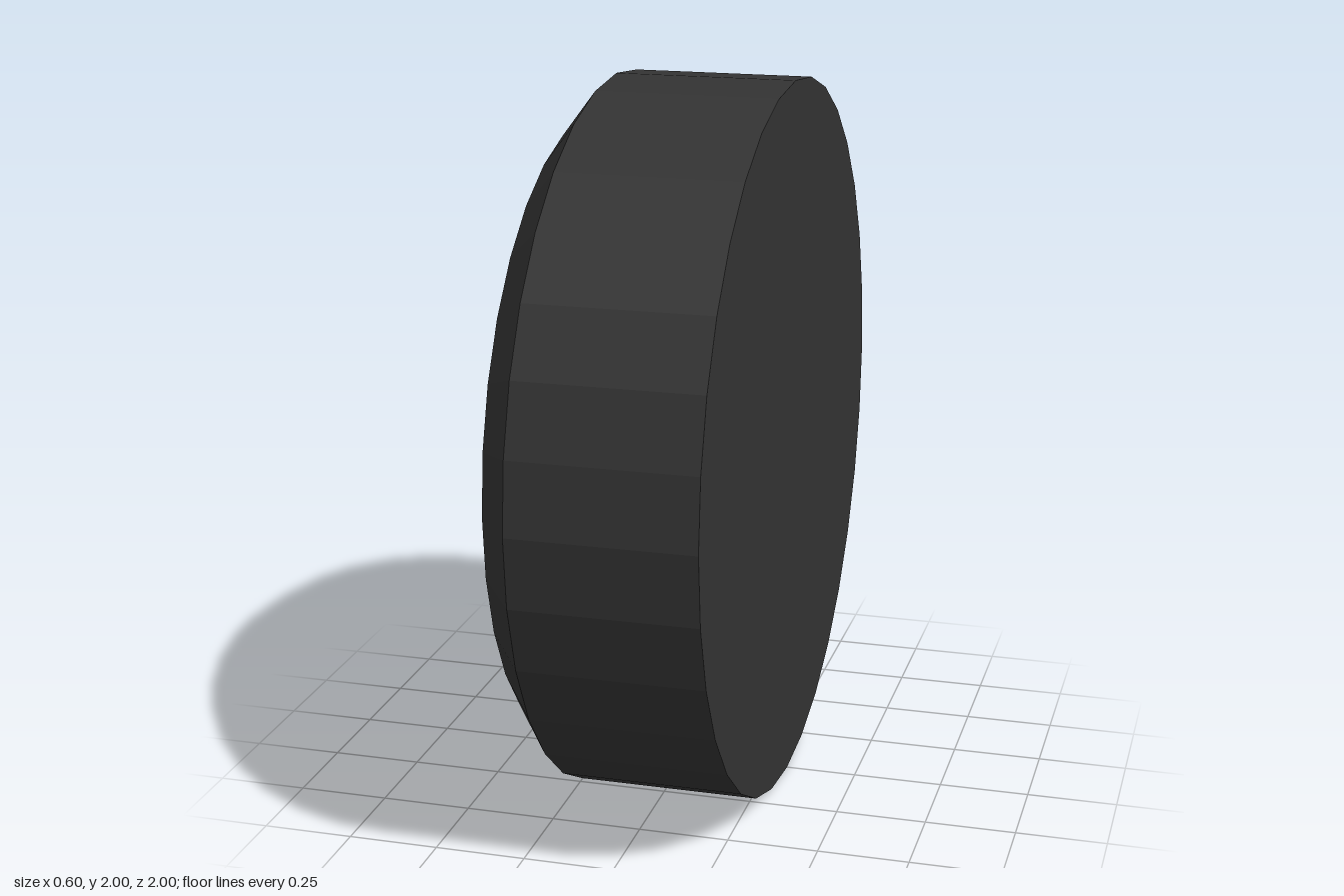
import * as THREE from 'three';

const SEGMENTS = 32;
const PAIRS = 16;

export function createModel() {
  const rubber = new THREE.MeshStandardMaterial({ color: 0x333333 });
  rubber.name = 'charcoal';

  const wheel = new THREE.Group();
  wheel.name = 'wheel';

  // Faceted solid of revolution about the x axis; profile is [radius, x]
  const turned = (name, profile) => {
    const geo = new THREE.LatheGeometry(profile.map(([r, x]) => new THREE.Vector2(r, x)), SEGMENTS)
      .rotateZ(-Math.PI / 2)
      .toNonIndexed();
    geo.computeVertexNormals();
    const mesh = new THREE.Mesh(geo, rubber);
    mesh.name = name;
    wheel.add(mesh);
  };

  // Tyre with a bevelled shoulder, dished rim and closed far side
  turned('tyreAndRim', [
    [0, 0.1], [0.785, 0.1], [0.785, -0.15], [0.87, -0.3], [1, -0.2], [1, 0.3], [0, 0.3],
  ]);

  // Hub with a recessed cap
  turned('hub', [[0, 0.02], [0.205, 0.02], [0.205, -0.035], [0.24, -0.035], [0.24, 0.1]]);

  // Deep spoke fin, sloping outward from hub to rim
  const WIDTH = 0.038;
  const ROOT = 0.225;
  const fin = new THREE.Shape([
    new THREE.Vector2(0, 0.1),
    new THREE.Vector2(0, -0.03),
    new THREE.Vector2(0.57, -0.15),
    new THREE.Vector2(0.57, 0.1),
  ]);
  const finGeo = new THREE.ExtrudeGeometry(fin, { depth: WIDTH, bevelEnabled: false });
  finGeo.translate(0, 0, -WIDTH / 2);
  finGeo.applyMatrix4(new THREE.Matrix4().makeBasis(
    new THREE.Vector3(0, 1, 0), new THREE.Vector3(1, 0, 0), new THREE.Vector3(0, 0, -1)));

  // Spokes in narrow pairs around the hub
  for (let i = 0; i < PAIRS; i++) {
    const pair = new THREE.Group();
    pair.name = 'spokePair';
    pair.rotation.x = ((i + 0.5) / PAIRS) * Math.PI * 2;
    for (const side of [-1, 1]) {
      const spoke = new THREE.Mesh(finGeo, rubber);
      spoke.name = 'spoke';
      spoke.position.set(0, ROOT, side * 0.019);
      spoke.rotation.x = side * 0.104;
      pair.add(spoke);
    }
    wheel.add(pair);
  }

  wheel.position.y = 1;
  const model = new THREE.Group();
  model.name = 'spokedWheel';
  model.add(wheel);
  return model;
}
